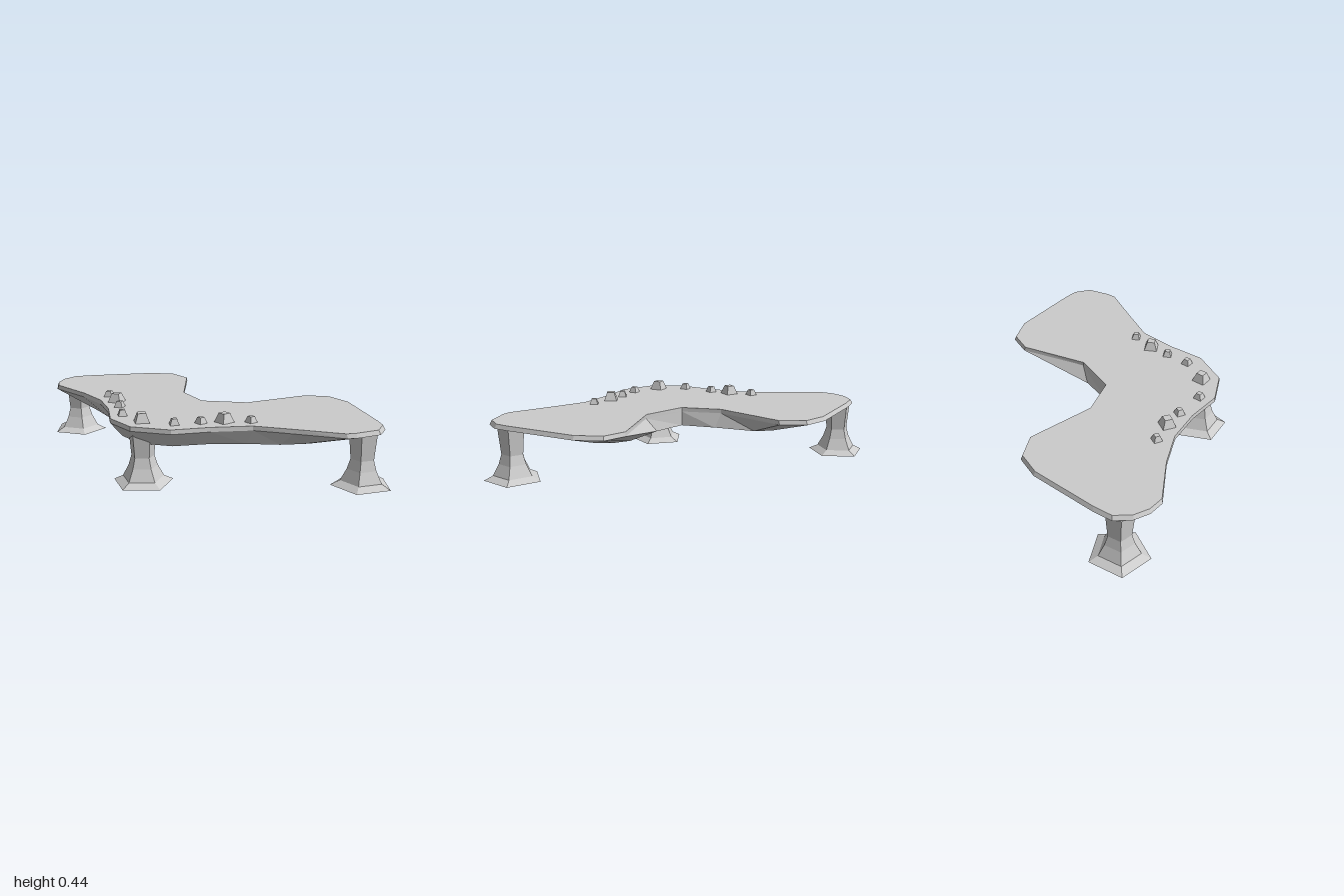
import * as THREE from 'three';

const material = new THREE.MeshStandardMaterial({ color: 0xcccccc, flatShading: true });

// Slab outline: rim x, rim z, underside x, underside z
const OUTLINE = [
  [-0.84, -0.92, -0.64, -0.59], [-0.71, -0.93, -0.56, -0.6], [-0.25, -0.92, -0.30, -0.60],
  [-0.09, -0.86, -0.20, -0.57], [-0.01, -0.70, -0.13, -0.47], [-0.12, -0.23, -0.09, -0.20],
  [-0.04, 0.03, -0.04, 0.03], [0.25, 0.14, 0.18, 0.10], [0.70, 0.02, 0.47, 0.13],
  [0.85, 0.08, 0.57, 0.20], [0.925, 0.25, 0.62, 0.30], [0.935, 0.75, 0.63, 0.58],
  [0.93, 0.85, 0.60, 0.65], [0.86, 0.95, 0.56, 0.70], [0.70, 0.99, 0.50, 0.73],
  [0.64, 0.99, 0.45, 0.73], [0.36, 0.83, 0.31, 0.72], [0.14, 0.71, 0.11, 0.66],
  [-0.12, 0.69, -0.12, 0.62], [-0.36, 0.70, -0.34, 0.62], [-0.59, 0.58, -0.53, 0.52],
  [-0.69, 0.37, -0.61, 0.34], [-0.68, 0.12, -0.61, 0.12], [-0.71, -0.12, -0.65, -0.11],
  [-0.81, -0.35, -0.71, -0.31], [-0.98, -0.63, -0.72, -0.45], [-0.975, -0.74, -0.71, -0.51],
  [-0.93, -0.84, -0.69, -0.56],
];

// Skins a closed stack of rings (bottom to top) with flat caps
function loft(rings) {
  const n = rings[0].length;
  const index = [];
  for (let r = 0; r < rings.length - 1; r++) {
    for (let i = 0; i < n; i++) {
      const j = (i + 1) % n, lo = r * n, hi = lo + n;
      index.push(lo + i, hi + i, hi + j, lo + i, hi + j, lo + j);
    }
  }
  const cap = (ring) => THREE.ShapeUtils.triangulateShape(ring.map(([x, , z]) => new THREE.Vector2(x, z)), []);
  const top = (rings.length - 1) * n;
  cap(rings[0]).forEach(([a, b, c]) => index.push(a, b, c));
  cap(rings.at(-1)).forEach(([a, b, c]) => index.push(top + a, top + c, top + b));
  const geometry = new THREE.BufferGeometry();
  geometry.setAttribute('position', new THREE.Float32BufferAttribute(rings.flat(2), 3));
  geometry.setIndex(index);
  const flat = geometry.toNonIndexed();
  flat.computeVertexNormals();
  return flat;
}

function addMesh(parent, name, geometry) {
  const mesh = new THREE.Mesh(geometry, material);
  mesh.name = name;
  parent.add(mesh);
  return mesh;
}

// Five-sided pedestal with a flared foot
const LEG_PROFILE = [[0.195, 0], [0.135, 0.03], [0.095, 0.105], [0.075, 0.17], [0.092, 0.35]];
function legGeometry() {
  return loft(LEG_PROFILE.map(([r, y]) => Array.from({ length: 5 }, (_, i) => {
    const a = (i / 5) * Math.PI * 2;
    return [r * Math.cos(a), y, r * Math.sin(a)];
  })));
}

// Four-sided stud with a sloping side and flat top
function studGeometry(half, topHalf, height) {
  const g = new THREE.CylinderGeometry(topHalf * Math.SQRT2, half * Math.SQRT2, height, 4);
  return g.rotateY(Math.PI / 4).translate(0, height / 2, 0);
}

export function createModel() {
  const model = new THREE.Group();
  model.name = 'cornerTable';

  // Table top: tapered underside, thin rim, flat surface
  addMesh(model, 'tableTop', loft([
    OUTLINE.map(([, , x, z]) => [x, 0.26, z]),
    OUTLINE.map(([x, z]) => [x, 0.357, z]),
    OUTLINE.map(([x, z, bx, bz]) => [x + (bx - x) * 0.04, 0.385, z + (bz - z) * 0.04]),
  ]));

  // Legs: one vertex of each points outward (angle in the x-z plane)
  const legs = [
    ['backLeg', -0.82, -0.82, 227],
    ['cornerLeg', -0.505, 0.49, 137],
    ['frontLeg', 0.81, 0.81, 47],
  ];
  const leg = legGeometry();
  for (const [name, x, z, angle] of legs) {
    const mesh = addMesh(model, name, leg);
    mesh.position.set(x, 0, z);
    mesh.rotation.y = -THREE.MathUtils.degToRad(angle);
  }

  // Studs along the outer edge: x, z, turn, large
  const studs = [
    [-0.64, -0.22, -0.5, 0], [-0.605, -0.06, -0.55, 1], [-0.6, 0.085, -0.5, 0],
    [-0.605, 0.305, 0, 0], [-0.505, 0.48, 0, 1], [-0.32, 0.58, 0, 0],
    [-0.155, 0.58, 0.5, 0], [-0.01, 0.585, 0.5, 1], [0.15, 0.62, 0.5, 0],
  ];
  const small = studGeometry(0.029, 0.016, 0.04);
  const large = studGeometry(0.045, 0.025, 0.06);
  const studGroup = new THREE.Group();
  studGroup.name = 'studs';
  for (const [x, z, turn, big] of studs) {
    const mesh = addMesh(studGroup, 'stud', big ? large : small);
    mesh.position.set(x, 0.383, z);
    mesh.rotation.y = turn;
  }
  model.add(studGroup);
  return model;
}
